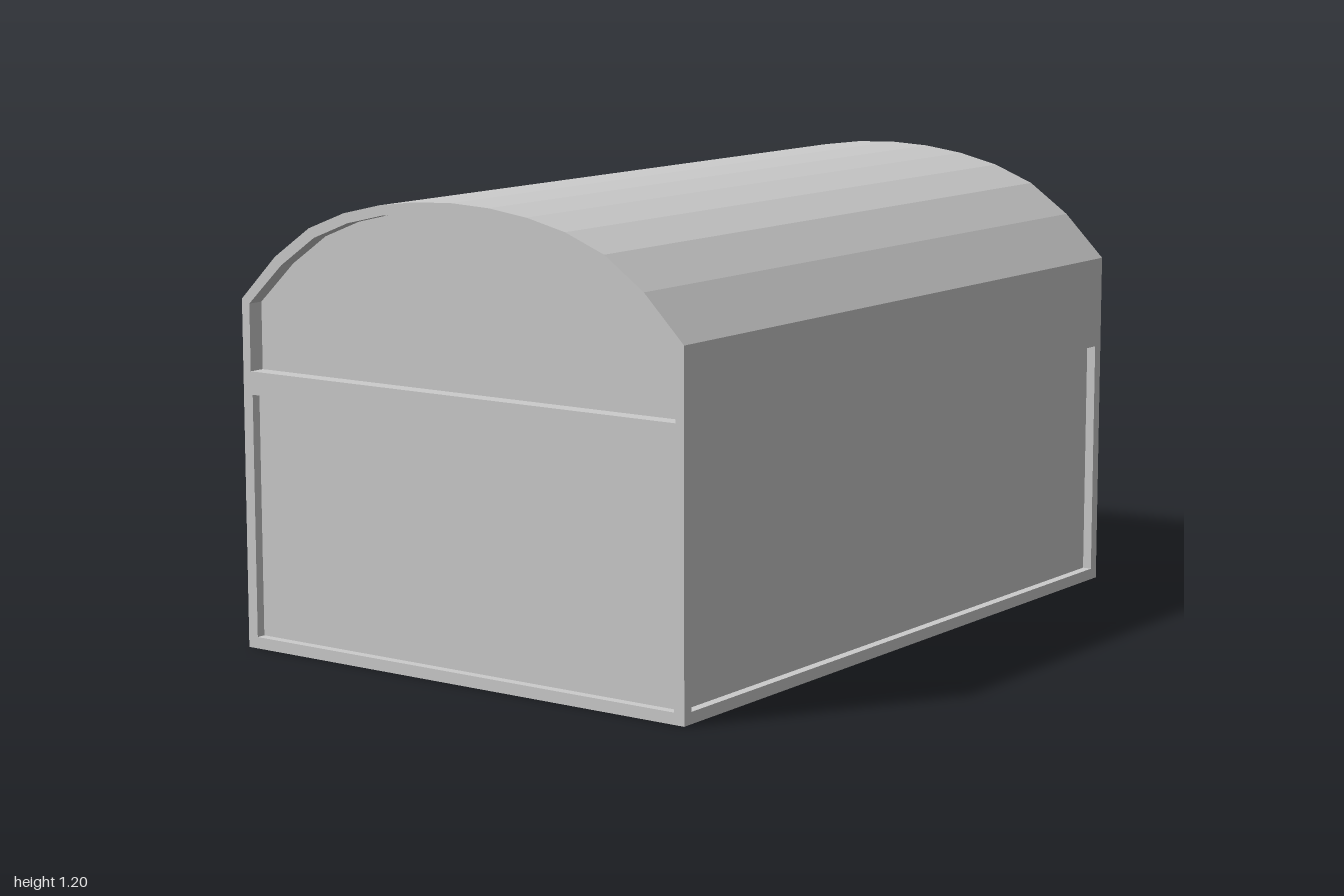
import * as THREE from 'three';

const W = 2, D = 1.38, H = 0.693, RIM = 0.03;
const BODY_RECESS = 0.025, LID_RECESS = 0.045;

const material = new THREE.MeshStandardMaterial({ color: 0xcccccc, flatShading: true });

function addMesh(parent, name, geometry) {
  const mesh = new THREE.Mesh(geometry, material);
  mesh.name = name;
  parent.add(mesh);
  return mesh;
}

// Outline extruded by depth, centred on its depth axis, optionally pierced
function slab(outline, depth, hole) {
  const shape = new THREE.Shape(outline);
  if (hole) shape.holes.push(new THREE.Path(hole));
  return new THREE.ExtrudeGeometry(shape, { depth, bevelEnabled: false }).translate(0, 0, -depth / 2);
}

function rectangle(halfWidth, bottom, top) {
  return [[-halfWidth, bottom], [halfWidth, bottom], [halfWidth, top], [-halfWidth, top]]
    .map(([x, y]) => new THREE.Vector2(x, y));
}

// Closed arch outline: straight sides with a faceted symmetric curve on top
function arch(bottom, halfWidth, heights) {
  const n = heights.length - 1;
  const points = [new THREE.Vector2(-halfWidth, bottom), new THREE.Vector2(halfWidth, bottom)];
  for (let i = -n; i <= n; i++) {
    points.push(new THREE.Vector2(-halfWidth * i / n, heights[Math.abs(i)]));
  }
  return points;
}

export function createModel() {
  const chest = new THREE.Group();
  chest.name = 'chest';

  // Body: recessed core with a raised frame on each of the four walls
  const body = new THREE.Group();
  body.name = 'body';
  chest.add(body);
  const t = BODY_RECESS;
  addMesh(body, 'bodyCore', new THREE.BoxGeometry(W - 2 * t, H, D - 2 * t).translate(0, H / 2, 0));
  for (const s of [1, -1]) {
    const wide = slab(rectangle(W / 2, 0, H), t, rectangle(W / 2 - RIM, RIM, H - RIM));
    addMesh(body, s > 0 ? 'frontFrame' : 'backFrame', wide).position.z = s * (D - t) / 2;

    const side = slab(rectangle(D / 2 - t, 0, H), t, rectangle(D / 2 - RIM, RIM, H - RIM));
    addMesh(body, s > 0 ? 'leftFrame' : 'rightFrame', side.rotateY(Math.PI / 2)).position.x = s * (W - t) / 2;
  }

  // Lid: barrel-shaped core with a raised rim around each end panel
  const lid = new THREE.Group();
  lid.name = 'lid';
  chest.add(lid);
  const outer = arch(H, D / 2, [1.195, 1.19, 1.175, 1.148, 1.103, 1.023, 0.908]);
  const inner = arch(H + RIM, D / 2 - 0.025, [1.169, 1.164, 1.15, 1.124, 1.08, 1.003, 0.897]);
  addMesh(lid, 'lidCore', slab(outer, W - 2 * LID_RECESS).rotateY(Math.PI / 2));
  for (const s of [1, -1]) {
    const rim = slab(outer, LID_RECESS, inner).rotateY(Math.PI / 2);
    addMesh(lid, s > 0 ? 'leftLidRim' : 'rightLidRim', rim).position.x = s * (W - LID_RECESS) / 2;
  }

  return chest;
}
